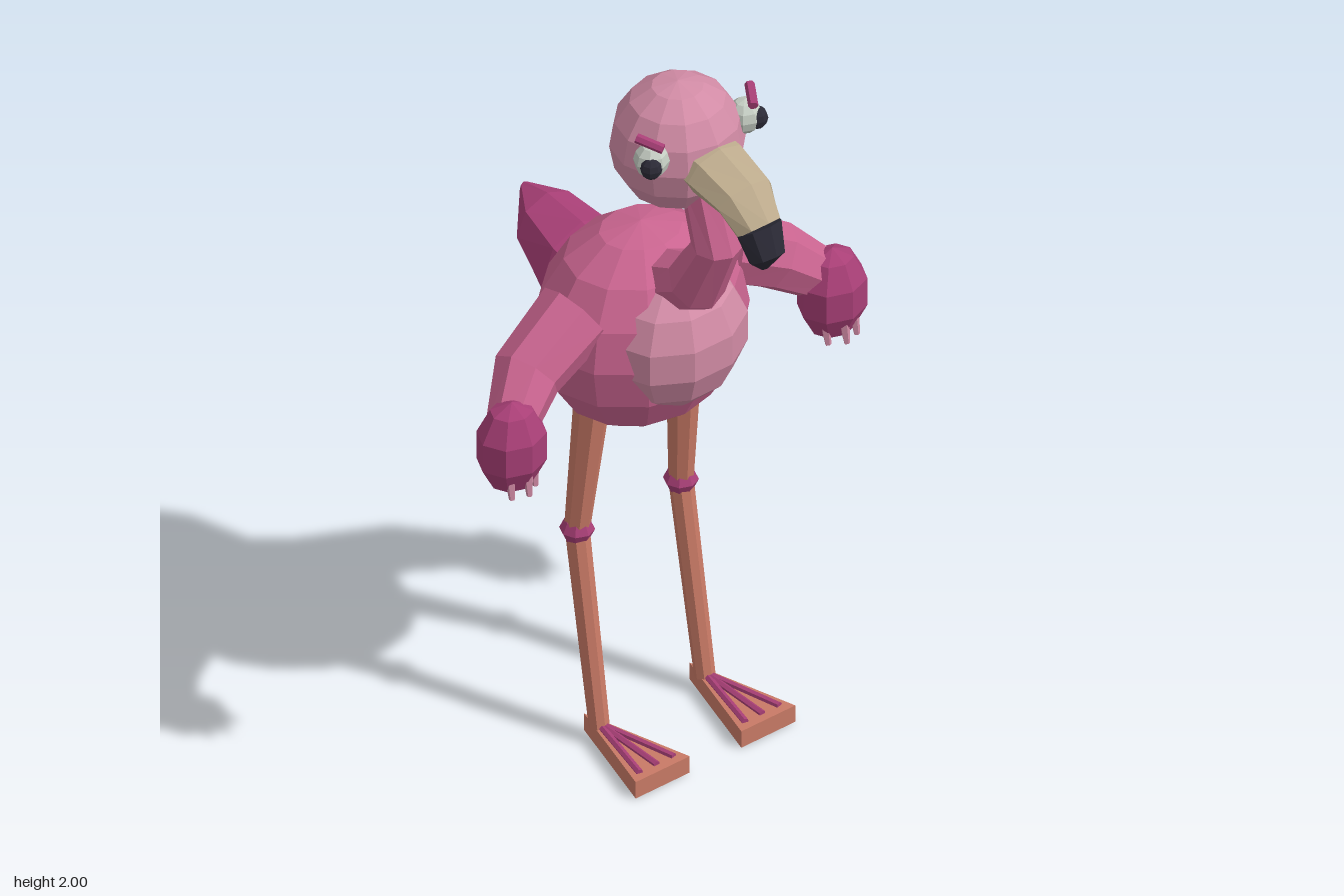
import * as THREE from 'three';

const mat = (color) => new THREE.MeshStandardMaterial({ color, flatShading: true });
const BODY = mat(0xc9648f), PALE = mat(0xd18ba5), DARK = mat(0xa83f76), LEG = mat(0xc97a66);
const BEAK = mat(0xbcaa8c), BLACK = mat(0x2b2a36), WHITE = mat(0xc4ccc2);

function add(parent, name, geometry, material) {
  const mesh = new THREE.Mesh(geometry, material);
  mesh.name = name;
  parent.add(mesh);
  return mesh;
}

// Faceted ellipsoid
function ball(parent, name, material, pos, radii, segs = 12, rows = 8) {
  const m = add(parent, name, new THREE.SphereGeometry(1, segs, rows), material);
  m.position.set(...pos);
  m.scale.set(...radii);
  return m;
}

// Straight tapered rod from a to b
function rod(parent, name, material, a, b, ra, rb, sides = 6) {
  const p = new THREE.Vector3(...a), q = new THREE.Vector3(...b);
  const d = q.clone().sub(p);
  const m = add(parent, name, new THREE.CylinderGeometry(rb, ra, d.length(), sides), material);
  m.position.copy(p).add(q).multiplyScalar(0.5);
  m.quaternion.setFromUnitVectors(new THREE.Vector3(0, 1, 0), d.normalize());
  return m;
}

// Closed skin over elliptical rings [x, y, z, sideRadius, otherRadius];
// side is the ring's first axis, axis optionally fixes the ring normal
function loft(rings, sides, side, axis) {
  const pos = [], index = [];
  const centres = rings.map((r) => new THREE.Vector3(r[0], r[1], r[2]));
  const last = rings.length - 1;
  rings.forEach((r, i) => {
    const t = axis ? axis.clone()
      : centres[Math.min(i + 1, last)].clone().sub(centres[Math.max(i - 1, 0)]).normalize();
    const s = side.clone().addScaledVector(t, -side.dot(t)).normalize();
    const n = t.clone().cross(s);
    for (let j = 0; j < sides; j++) {
      const a = (j / sides) * Math.PI * 2;
      const p = centres[i].clone().addScaledVector(s, r[3] * Math.cos(a))
        .addScaledVector(n, (r[4] ?? r[3]) * Math.sin(a));
      pos.push(p.x, p.y, p.z);
    }
  });
  const c0 = rings.length * sides;
  for (const c of [centres[0], centres[last]]) pos.push(c.x, c.y, c.z);
  for (let j = 0; j < sides; j++) {
    const k = (j + 1) % sides;
    for (let i = 0; i < last; i++) {
      const a = i * sides + j, b = i * sides + k;
      index.push(a, b, a + sides, b, b + sides, a + sides);
    }
    index.push(c0, k, j, c0 + 1, last * sides + j, last * sides + k);
  }
  const g = new THREE.BufferGeometry();
  g.setAttribute('position', new THREE.Float32BufferAttribute(pos, 3));
  g.setIndex(index);
  g.computeVertexNormals();
  return g;
}

const X = new THREE.Vector3(1, 0, 0), Z = new THREE.Vector3(0, 0, 1);

// Everything that exists once per side, built on +x
function buildSide(name) {
  const g = new THREE.Group();
  g.name = name;

  // Eye, pupil and brow
  ball(g, 'eye', WHITE, [0.15, 1.87, 0.185], [0.046, 0.048, 0.046], 8, 6);
  ball(g, 'pupil', BLACK, [0.17, 1.867, 0.208], [0.029, 0.031, 0.029], 8, 6);
  rod(g, 'brow', DARK, [0.182, 1.94, 0.165], [0.145, 1.922, 0.225], 0.013, 0.013);

  // Wing arm, hand and finger tips
  add(g, 'wing', loft([
    [0.23, 1.325, -0.015, 0.1], [0.4, 1.225, 0, 0.09], [0.53, 1.13, 0.08, 0.06],
  ], 8, Z), BODY);
  ball(g, 'hand', DARK, [0.516, 1.107, 0.083], [0.098, 0.132, 0.086], 8, 5);
  for (const [x, z] of [[0.468, 0.11], [0.508, 0.135], [0.552, 0.12]]) {
    rod(g, 'fingerTip', PALE, [x, 1.06, z], [x + 0.003, 0.985, z + 0.012], 0.016, 0.008, 5);
  }

  // Leg with knee
  rod(g, 'upperLeg', LEG, [0.148, 1.0, -0.05], [0.167, 0.6, -0.085], 0.047, 0.033, 8);
  ball(g, 'knee', DARK, [0.167, 0.6, -0.085], [0.045, 0.04, 0.045], 8, 4);
  rod(g, 'lowerLeg', LEG, [0.167, 0.6, -0.085], [0.17, 0.045, 0.005], 0.032, 0.027, 8);

  // Webbed foot: a triangular slab with three toe ridges
  const web = new THREE.Shape([
    new THREE.Vector2(0.17, 0.055), new THREE.Vector2(0.083, -0.253), new THREE.Vector2(0.257, -0.253),
  ]);
  const foot = new THREE.ExtrudeGeometry(web, { depth: 0.05, bevelEnabled: false });
  add(g, 'foot', foot.rotateX(-Math.PI / 2), LEG);
  for (const dx of [-0.055, 0, 0.055]) {
    rod(g, 'toe', DARK, [0.17, 0.051, 0], [0.17 + dx, 0.051, 0.23], 0.01, 0.01);
  }
  return g;
}

export function createModel() {
  const model = new THREE.Group();
  model.name = 'wadingBird';

  // Body, chest patch and head
  ball(model, 'body', BODY, [0, 1.2, -0.04], [0.29, 0.292, 0.245]);
  ball(model, 'chestPatch', PALE, [0, 1.225, 0.095], [0.2, 0.195, 0.163], 10, 7);
  ball(model, 'head', PALE, [0, 1.82, 0.105], [0.174, 0.18, 0.17]);

  // Tail feathers
  add(model, 'tail', loft([
    [0, 1.2, -0.19, 0.13, 0.14], [0, 1.22, -0.27, 0.13, 0.14],
    [0, 1.28, -0.405, 0.098, 0.093], [0, 1.34, -0.495, 0.014, 0.017],
  ], 8, X, new THREE.Vector3(0, 0, -1)), DARK);

  // Curved neck
  add(model, 'neck', loft([
    [0, 1.36, 0.05, 0.09], [0, 1.43, 0.18, 0.08], [0, 1.58, 0.257, 0.064], [0, 1.74, 0.2, 0.056],
  ], 8, X), BODY);

  // Hooked beak with dark tip
  add(model, 'beak', loft([
    [0, 1.82, 0.19, 0.095, 0.07], [0, 1.815, 0.26, 0.095, 0.068],
    [0, 1.79, 0.365, 0.086, 0.058], [0, 1.725, 0.423, 0.065, 0.052],
  ], 8, X), BEAK);
  add(model, 'beakTip', loft([
    [0, 1.727, 0.422, 0.066, 0.053], [0, 1.652, 0.455, 0.05, 0.044], [0, 1.613, 0.447, 0.009, 0.009],
  ], 8, X, new THREE.Vector3(0, -0.87, 0.5)), BLACK);

  // Mirrored halves
  model.add(buildSide('leftSide'));
  const right = buildSide('rightSide');
  right.scale.x = -1;
  model.add(right);
  return model;
}
